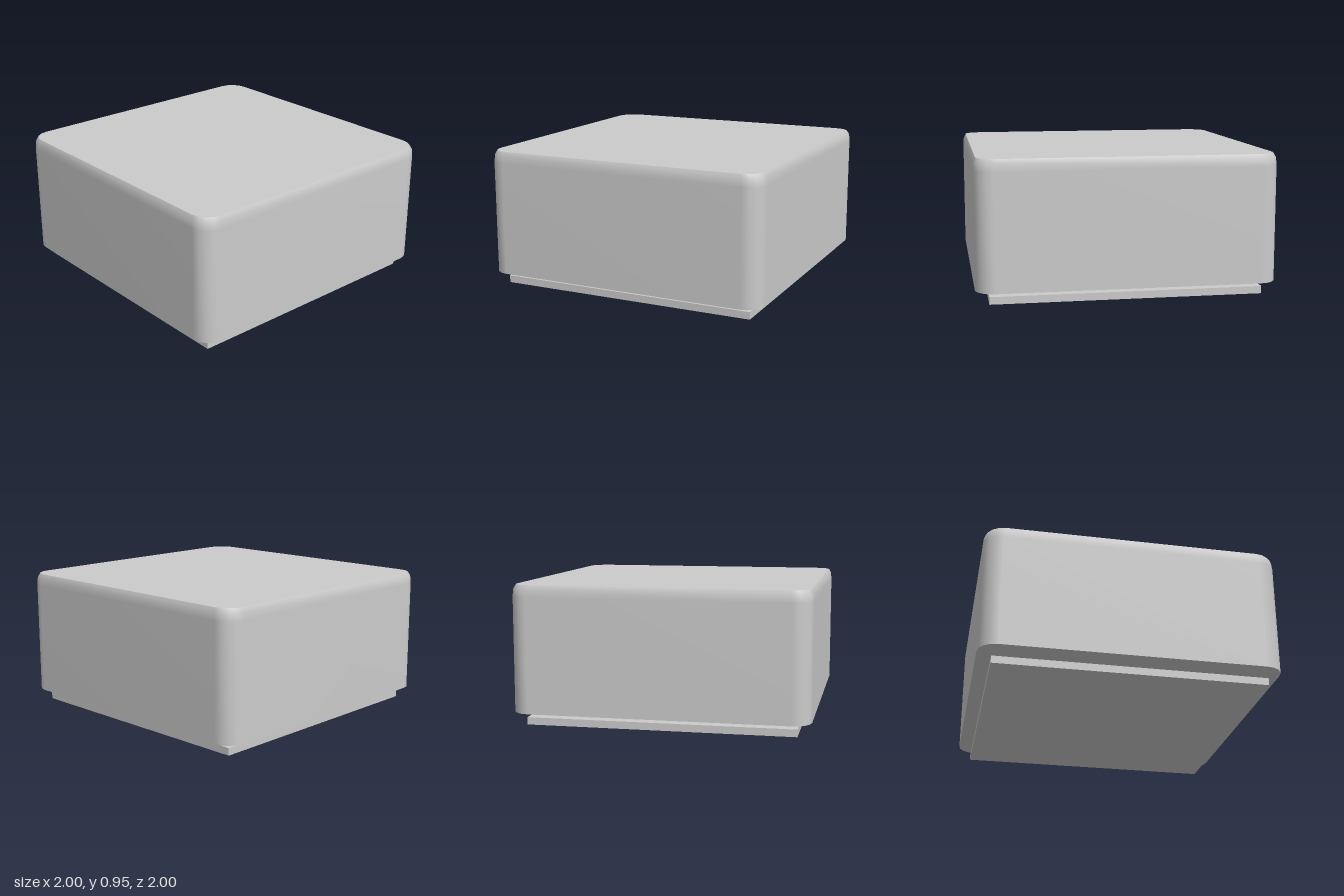
import * as THREE from 'three';
import { mergeGeometries } from 'three/addons/utils/BufferGeometryUtils.js';

const material = new THREE.MeshStandardMaterial({ color: 0xcccccc });
const CORNER_STEPS = 4;

// Skins a stack of rounded squares, each given as [half width, corner radius, height].
function loft(sections) {
  const positions = [], index = [];
  const n = 4 * (CORNER_STEPS + 1);
  for (const [half, radius, y] of sections) {
    for (let corner = 0; corner < 4; corner++) {
      const mid = (corner + 0.5) * Math.PI / 2;
      const cx = Math.sign(Math.cos(mid)) * (half - radius);
      const cz = Math.sign(Math.sin(mid)) * (half - radius);
      for (let s = 0; s <= CORNER_STEPS; s++) {
        const a = (corner + s / CORNER_STEPS) * Math.PI / 2;
        positions.push(cx + radius * Math.cos(a), y, cz + radius * Math.sin(a));
      }
    }
  }
  for (let r = 0; r < sections.length - 1; r++) {
    for (let i = 0; i < n; i++) {
      const j = (i + 1) % n;
      const a = r * n + i, b = r * n + j;
      index.push(a, a + n, b + n, a, b + n, b);
    }
  }
  const geometry = new THREE.BufferGeometry();
  geometry.setAttribute('position', new THREE.Float32BufferAttribute(positions, 3));
  geometry.setIndex(index);
  geometry.computeVertexNormals();
  return geometry;
}

function slab(name, width, bottom, top) {
  const mesh = new THREE.Mesh(new THREE.BoxGeometry(width, top - bottom, width), material);
  mesh.name = name;
  mesh.position.y = (bottom + top) / 2;
  return mesh;
}

export function createModel() {
  const group = new THREE.Group();
  group.name = 'squareBlockOnPlinth';

  // Main block: smooth walls with a softened top rim, and crisp flat caps
  const walls = [[1, 0.125, 0.09], [1, 0.125, 0.87], [0.996, 0.125, 0.92], [0.982, 0.125, 0.95]];
  const first = walls[0], last = walls[walls.length - 1];
  const block = new THREE.Mesh(mergeGeometries([
    loft(walls),
    loft([[0, 0, first[2]], first]),
    loft([last, [0, 0, last[2]]]),
  ]), material);
  block.name = 'block';

  // Recessed neck and wider foot plate beneath the block
  group.add(block, slab('neck', 1.29, 0.05, 0.09), slab('footPlate', 1.82, 0, 0.05));
  return group;
}
